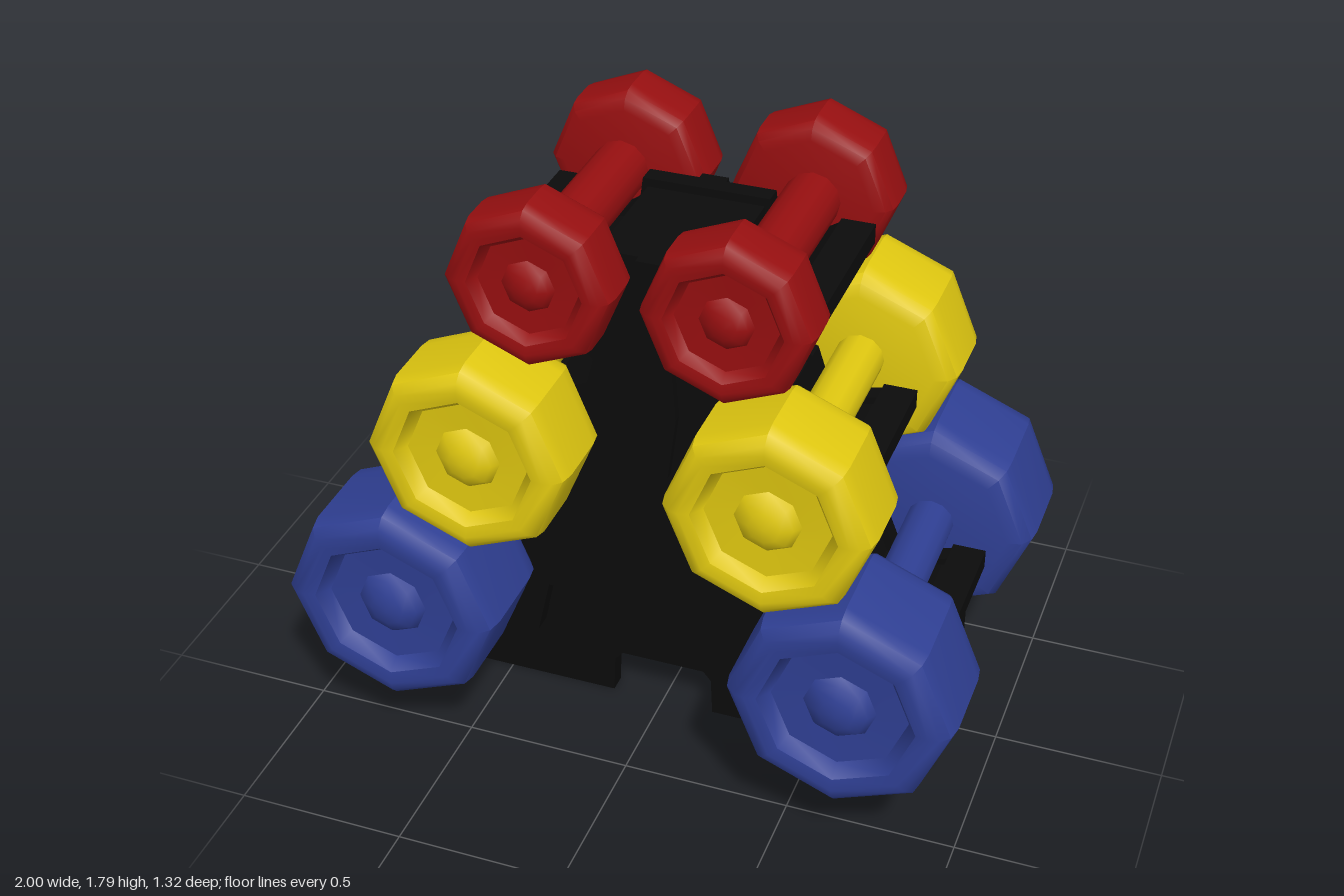
import * as THREE from 'three';
import { toCreasedNormals } from 'three/addons/utils/BufferGeometryUtils.js';

const mat = (name, color) => {
  const m = new THREE.MeshStandardMaterial({ color });
  m.name = name;
  return m;
};

export function createModel() {
  const black = mat('rackBlack', 0x0b0b0b);
  const model = new THREE.Group();
  model.name = 'dumbbellRack';
  const add = (parent, name, geo, material, x = 0, y = 0, z = 0) => {
    const m = new THREE.Mesh(geo, material);
    m.name = name;
    m.position.set(x, y, z);
    parent.add(m);
    return m;
  };

  // Three dumbbell sizes: head centre, head radius, z range, handle centre and radius
  const sizes = [
    { name: 'large', m: mat('blue', 0x2f3f93), x: 0.673, y: 0.512, r: 0.327, z0: 0.275, z1: 0.66, hx: 0.69, hy: 0.54, hr: 0.072 },
    { name: 'medium', m: mat('yellow', 0xdfc710), x: 0.435, y: 1.033, r: 0.3, z0: 0.275, z1: 0.592, hx: 0.447, hy: 1.07, hr: 0.073 },
    { name: 'small', m: mat('red', 0x960f10), x: 0.278, y: 1.553, r: 0.242, z0: 0.268, z1: 0.478, hx: 0.288, hy: 1.563, hr: 0.083 },
  ];
  // Octagonal head with rounded rims, a dished end and a central knob
  const headGeometry = ({ r, z0, z1 }) => {
    const b = r * 0.14;
    const pts = [
      [0, z0], [r * 0.78, z0], [r * 0.91, z0 + b * 0.3], [r * 0.98, z0 + b],
      [r, z0 + b * 2], [r, z1 - b * 1.7], [r * 0.97, z1 - b * 0.7], [r * 0.89, z1 - b * 0.15],
      [r * 0.8, z1], [r * 0.69, z1 - b * 0.15], [r * 0.6, z1 - b * 1.1],
      [r * 0.32, z1 - b * 1.2], [r * 0.26, z1 - b * 0.7], [r * 0.15, z1 - b * 0.3], [0, z1 - b * 0.15],
    ].map(([x, y]) => new THREE.Vector2(x, y));
    return toCreasedNormals(new THREE.LatheGeometry(pts, 8).rotateX(Math.PI / 2), 0.72);
  };

  for (const s of sizes) {
    const head = headGeometry(s);
    const handle = new THREE.CylinderGeometry(s.hr, s.hr, s.z0 * 2 + 0.04, 12).rotateX(Math.PI / 2);
    for (const side of [-1, 1]) {
      const bell = new THREE.Group();
      bell.name = s.name + (side > 0 ? 'LeftDumbbell' : 'RightDumbbell');
      add(bell, 'frontHead', head, s.m, side * s.x, s.y);
      add(bell, 'backHead', head, s.m, side * s.x, s.y).rotation.y = Math.PI;
      add(bell, 'handle', handle, s.m, side * s.hx, s.hy);
      model.add(bell);
    }
  }

  // Right half outline, bottom centre to top centre, mirrored and extruded between two z values
  const plate = (half, z0, z1) => {
    const mirrored = half.filter(([x]) => x > 0).map(([x, y]) => [-x, y]).reverse();
    const shape = new THREE.Shape([...half, ...mirrored].map(([x, y]) => new THREE.Vector2(x, y)));
    return new THREE.ExtrudeGeometry(shape, { depth: z1 - z0, bevelEnabled: false }).translate(0, 0, z0);
  };

  // Stepped frame from the top down, with a saddle under every handle
  const steps = [
    [0.19, 1.585], [0.2, 1.51], [0.24, 1.48], [0.3, 1.47], [0.38, 1.52], [0.47, 1.52],
    [0.46, 1.46], [0.29, 1.35], [0.18, 1.23], [0.2, 1.15], [0.33, 1.1],
    [0.36, 1.01], [0.43, 0.98], [0.53, 1.0], [0.62, 1.0], [0.61, 0.94], [0.45, 0.81], [0.41, 0.72],
    [0.43, 0.62], [0.56, 0.59], [0.6, 0.49], [0.68, 0.455], [0.77, 0.48], [0.865, 0.48], [0.85, 0.41],
  ];
  const sidePlate = [
    [0, 1.585], ...steps, [0.74, 0.27], [0.62, 0.15], [0.54, 0.12], [0.44, 0.14], [0.38, 0.22],
    [0.34, 0.4], [0, 0.42],
  ].reverse();
  // Recessed core between the plates, open underneath
  const core = [
    [0, 1.56], ...steps.map(([x, y]) => [x - 0.015, y - 0.025]), [0.76, 0.28], [0, 0.28],
  ].reverse();
  // Foot plate with a notch in the middle
  const foot = [
    [0, 0.15], [0.13, 0.15], [0.155, 0.12], [0.16, 0], [0.84, 0], [0.84, 0.42], [0, 0.43],
  ];
  // Tapered rib up the middle of each face
  const rib = [[0, 0.89], [0.05, 0.9], [0.075, 1.1], [0.04, 1.585], [0, 1.585]];

  const rack = new THREE.Group();
  rack.name = 'rack';
  model.add(rack);
  add(rack, 'core', plate(core, -0.19, 0.19), black);
  for (const [end, s] of [['front', 1], ['back', -1]]) {
    const span = (a, b) => (s > 0 ? [a, b] : [-b, -a]);
    add(rack, end + 'FramePlate', plate(sidePlate, ...span(0.185, 0.243)), black);
    add(rack, end + 'FootPlate', plate(foot, ...span(0.13, 0.184)), black);
    add(rack, end + 'Rib', plate(rib, ...span(0.24, 0.268)), black);
  }
  // Lips along the outer edge of each saddle
  for (const [x, y] of [[0.82, 0.452], [0.578, 0.972], [0.428, 1.492]]) {
    for (const side of [-1, 1]) {
      add(rack, 'saddleLip', new THREE.BoxGeometry(0.1, 0.06, 0.52), black, side * x, y);
    }
  }
  return model;
}
